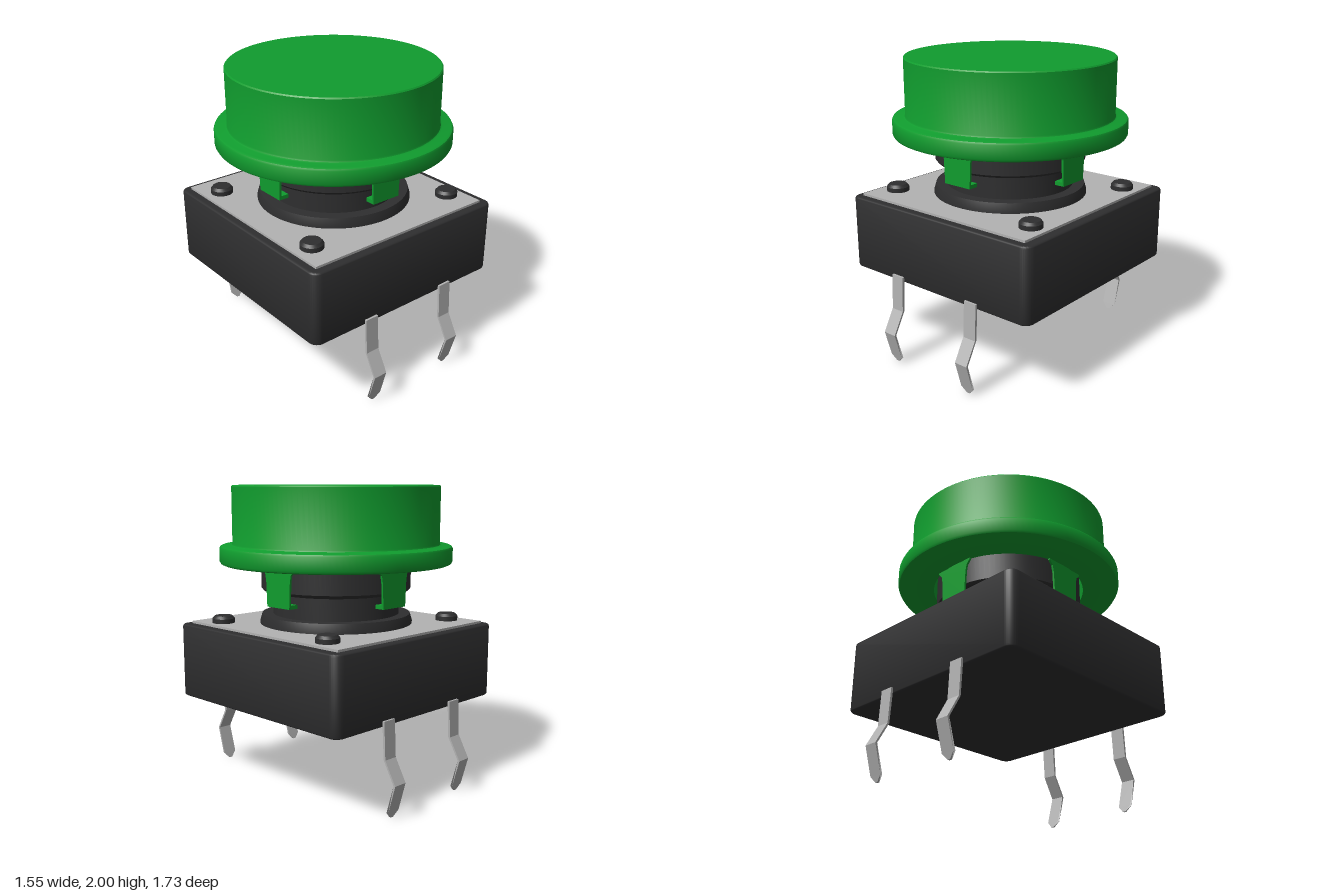
import * as THREE from 'three';
import { toCreasedNormals } from 'three/addons/utils/BufferGeometryUtils.js';

export function createModel() {
  const model = new THREE.Group();
  const mat = (name, color) => {
    const m = new THREE.MeshStandardMaterial({ color });
    m.name = name;
    return m;
  };
  const green = mat('green plastic', 0x109c2e);
  const black = mat('black plastic', 0x2e2e2f);
  const metal = mat('bare metal', 0xb2b2b2);

  const add = (name, geometry, material, parent = model) => {
    const mesh = new THREE.Mesh(geometry, material);
    mesh.name = name;
    parent.add(mesh);
    return mesh;
  };
  const points = (list) => list.map(([x, y]) => new THREE.Vector2(x, y));
  const lathe = (profile, segments = 96) =>
    toCreasedNormals(new THREE.LatheGeometry(points(profile), segments), 0.6);

  // Square housing with rounded corners and softened edges
  const bevel = 0.018, half = 0.757 - bevel, r = 0.045;
  const outline = new THREE.Shape();
  outline.absarc(half - r, half - r, r, 0, Math.PI / 2);
  outline.absarc(r - half, half - r, r, Math.PI / 2, Math.PI);
  outline.absarc(r - half, r - half, r, Math.PI, Math.PI * 1.5);
  outline.absarc(half - r, r - half, r, Math.PI * 1.5, Math.PI * 2);
  const body = new THREE.ExtrudeGeometry(outline, {
    depth: 0.5 - 2 * bevel, bevelThickness: bevel, bevelSize: bevel, bevelSegments: 4, curveSegments: 8,
  });
  body.rotateX(-Math.PI / 2).translate(0, 0.57 + bevel, 0);
  add('housing', toCreasedNormals(body, 0.6), black);

  // Metal cover plate with a round opening for the plunger
  const cover = new THREE.Shape(points([[-0.7, -0.7], [0.69, -0.7], [0.69, 0.7], [-0.7, 0.7]]));
  cover.holes.push(new THREE.Path().absarc(0, 0, 0.5, 0, Math.PI * 2, true));
  const coverGeometry = new THREE.ExtrudeGeometry(cover, { depth: 0.025, bevelEnabled: false, curveSegments: 48 });
  coverGeometry.rotateX(-Math.PI / 2).translate(0, 1.06, 0);
  add('coverPlate', coverGeometry, metal);

  // Four rivets holding the cover
  const rivet = lathe([[0.075, 1.06], [0.075, 1.115], [0.06, 1.133], [0, 1.133]], 32);
  for (const x of [-0.575, 0.575]) {
    for (const z of [-0.5, 0.5]) add('rivet', rivet, black).position.set(x, 0, z);
  }

  // Collar and plunger
  add('collar', lathe([[0.515, 1.06], [0.515, 1.1], [0.5, 1.15], [0.4, 1.15]]), black);
  add('plunger', lathe([
    [0.425, 1.1], [0.425, 1.295], [0.44, 1.31], [0.49, 1.31], [0.503, 1.325], [0.503, 1.72], [0, 1.72],
  ]), black);

  // Hollow cap with flange
  add('cap', lathe([
    [0, 1.75], [0.527, 1.75], [0.527, 1.485], [0.755, 1.485], [0.769, 1.491], [0.777, 1.505],
    [0.777, 1.59], [0.771, 1.602], [0.757, 1.608], [0.705, 1.608], [0.695, 1.613], [0.691, 1.622],
    [0.691, 1.992], [0.684, 2], [0, 2],
  ], 128), green);

  // Four hooked clips hanging from the cap
  const clipShape = new THREE.Shape(points([
    [-0.105, 1.23], [0.105, 1.23], [0.113, 1.4], [0.122, 1.445], [0.15, 1.475], [0.15, 1.53],
    [-0.15, 1.53], [-0.15, 1.475], [-0.122, 1.445], [-0.113, 1.4],
  ]));
  const clipGeometry = new THREE.ExtrudeGeometry(clipShape, { depth: 0.014, bevelEnabled: false });
  clipGeometry.translate(0, 0, 0.509);
  const hookGeometry = new THREE.BoxGeometry(0.21, 0.025, 0.06).translate(0, 1.2425, 0.484);
  for (let i = 0; i < 4; i++) {
    const clip = new THREE.Group();
    clip.name = 'clip';
    clip.rotation.y = i * Math.PI / 2;
    add('clipArm', clipGeometry, green, clip);
    add('clipHook', hookGeometry, green, clip);
    model.add(clip);
  }

  // Kinked terminal pins with pointed tips
  const path = [[0.765, 0.61], [0.776, 0.37], [0.857, 0.225], [0.804, 0.04], [0.793, 0]];
  const t = 0.007, width = 0.096;
  const pinShape = new THREE.Shape(points([
    [0.74, 0.61], ...path.map(([z, y]) => [z + t, y]),
    ...path.slice(1).reverse().map(([z, y]) => [z - t, y]), [0.757, 0.59], [0.74, 0.59],
  ]));
  const pin = new THREE.ExtrudeGeometry(pinShape, { depth: width, bevelEnabled: false });
  pin.rotateY(-Math.PI / 2).translate(width / 2, 0, 0);
  const p = pin.attributes.position;
  for (let i = 0; i < p.count; i++) if (p.getY(i) < 0.02) p.setX(i, p.getX(i) * 0.2);
  pin.computeVertexNormals();
  for (const turn of [0, Math.PI]) {
    for (const x of [-0.32, 0.32]) {
      const mesh = add('pin', pin, metal);
      mesh.rotation.y = turn;
      mesh.position.x = x;
    }
  }
  return model;
}
